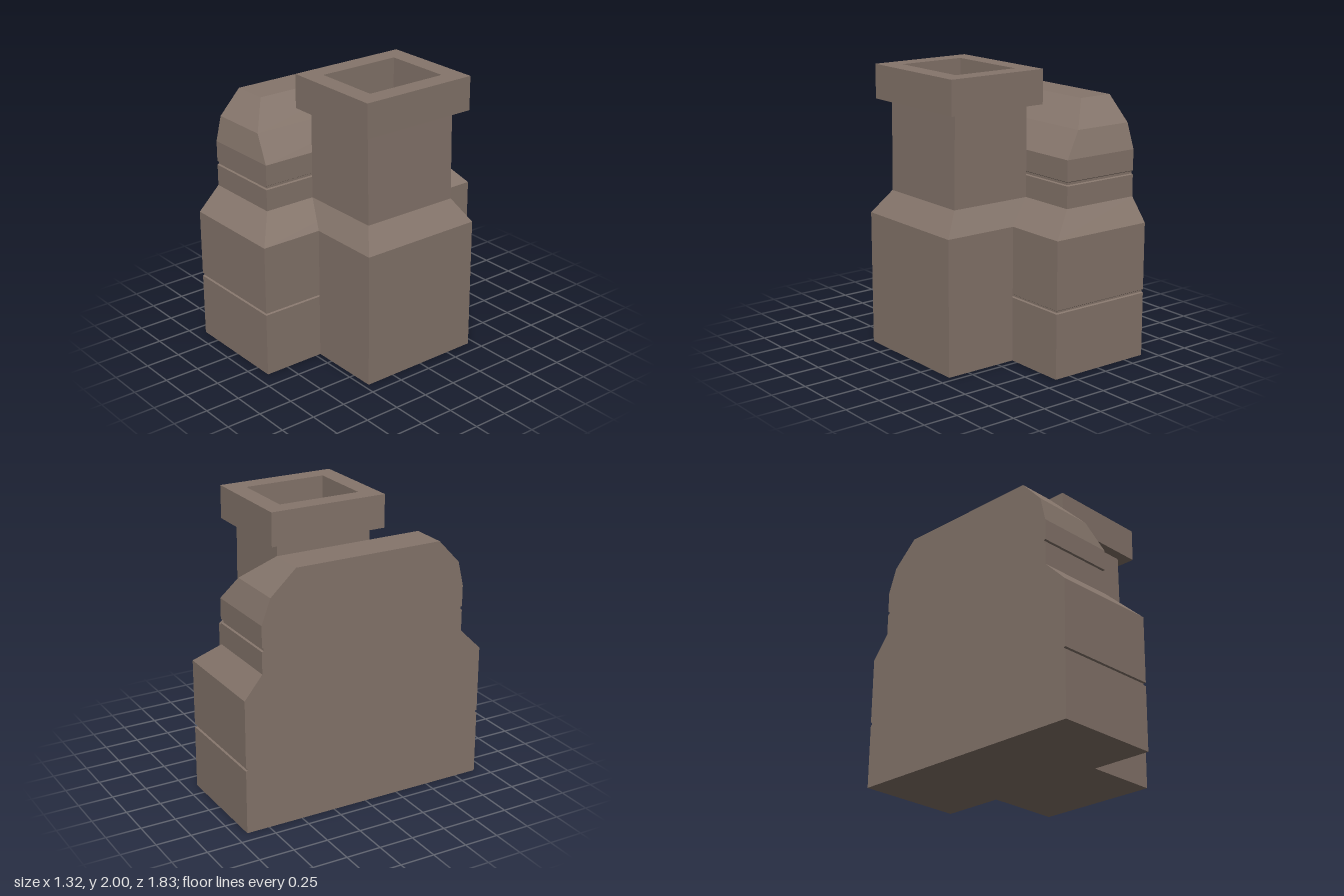
import * as THREE from 'three';

// Closed solid through rectangular rings [y, xMin, xMax, zMin, zMax], bottom to top.
function loft(rings) {
  const positions = [], index = [];
  for (const [y, x0, x1, z0, z1] of rings) {
    positions.push(x0, y, z1, x1, y, z1, x1, y, z0, x0, y, z0);
  }
  for (let r = 0; r < rings.length - 1; r++) {
    for (let i = 0; i < 4; i++) {
      const j = (i + 1) % 4;
      const a = r * 4 + i, b = r * 4 + j, c = b + 4, d = a + 4;
      index.push(a, b, c, a, c, d);
    }
  }
  const t = (rings.length - 1) * 4;
  index.push(0, 2, 1, 0, 3, 2, t, t + 1, t + 2, t, t + 2, t + 3);
  const indexed = new THREE.BufferGeometry();
  indexed.setAttribute('position', new THREE.Float32BufferAttribute(positions, 3));
  indexed.setIndex(index);
  const geometry = indexed.toNonIndexed();
  geometry.computeVertexNormals();
  return geometry;
}

export function createModel() {
  const group = new THREE.Group();
  const stone = new THREE.MeshStandardMaterial({ color: 0x85756b, flatShading: true });
  stone.name = 'brownStone';
  const soot = new THREE.MeshStandardMaterial({ color: 0x0a0a0a });
  soot.name = 'sootBlack';

  const add = (name, geometry, material) => {
    const mesh = new THREE.Mesh(geometry, material);
    mesh.name = name;
    group.add(mesh);
    return mesh;
  };

  // Wide hearth body, flat on the wall side, with two thin grooves around it
  const back = -0.66, g = 0.012;
  const lower = y => [y, back, 0.12, -0.915, 0.915];
  const upper = y => [y, back, -0.07, -0.785, 0.752];
  const inset = ([y, x0, x1, z0, z1]) => [y, x0, x1 - g, z0 + g, z1 - g];
  add('hearthBody', loft([
    lower(0), lower(0.455), inset(lower(0.461)), inset(lower(0.473)), lower(0.48), lower(0.955),
    upper(1.115), upper(1.268), inset(upper(1.274)), inset(upper(1.29)), upper(1.297), upper(1.445),
    [1.62, back, -0.215, -0.72, 0.71],
    [1.79, back, -0.4, -0.535, 0.55],
  ]), stone);

  // Chimney stack with a sloped shoulder
  add('chimneyStack', loft([
    [0, 0.12, 0.66, -0.453, 0.463],
    [0.955, 0.12, 0.66, -0.453, 0.463],
    [1.115, -0.07, 0.54, -0.357, 0.37],
    [1.76, -0.07, 0.53, -0.357, 0.37],
  ]), stone);

  // Chimney cap: a square collar around the flue
  const rect = (Type, x0, x1, z0, z1) => new Type([
    new THREE.Vector2(x0, -z1), new THREE.Vector2(x1, -z1),
    new THREE.Vector2(x1, -z0), new THREE.Vector2(x0, -z0),
  ]);
  const collar = rect(THREE.Shape, -0.145, 0.615, -0.435, 0.442);
  collar.holes.push(rect(THREE.Path, -0.01, 0.48, -0.3, 0.31));
  const cap = new THREE.ExtrudeGeometry(collar, { depth: 0.24, bevelEnabled: false });
  cap.rotateX(-Math.PI / 2);
  add('chimneyCap', cap, stone).position.y = 1.76;

  // Dark flue opening
  add('flueOpening', new THREE.BoxGeometry(0.49, 0.008, 0.61), soot).position.set(0.235, 1.765, 0.005);

  return group;
}
